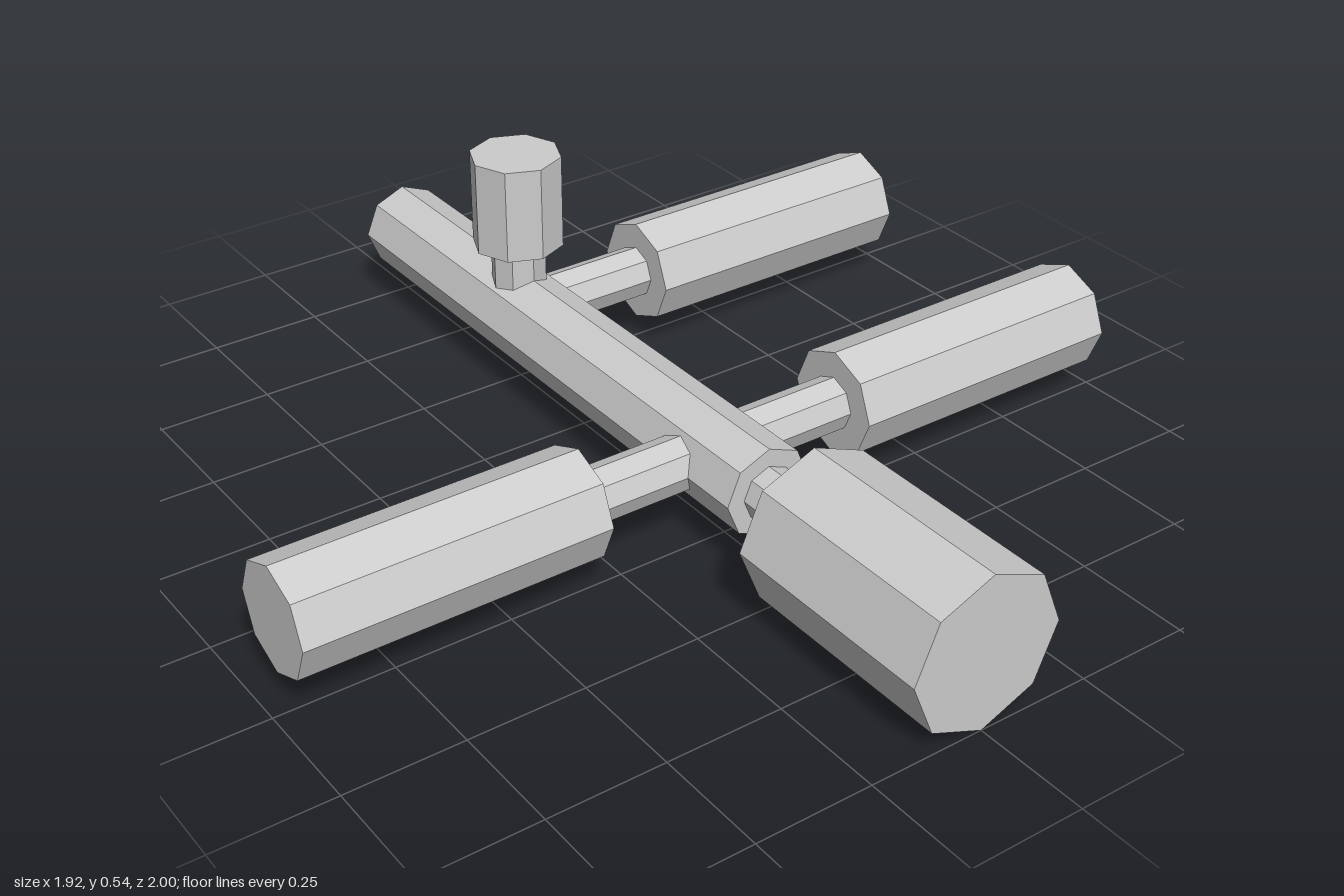
import * as THREE from 'three';

const SIDES = 8;
const AXIS_Y = 0.168; // height shared by every horizontal part
const UP = new THREE.Vector3(0, 1, 0);
const material = new THREE.MeshStandardMaterial({ color: 0xcccccc, flatShading: true });

// Octagonal bar between two points
function bar(name, radius, from, to) {
  const a = new THREE.Vector3(...from);
  const b = new THREE.Vector3(...to);
  const mesh = new THREE.Mesh(
    new THREE.CylinderGeometry(radius, radius, a.distanceTo(b), SIDES), material);
  mesh.name = name;
  mesh.position.copy(a).add(b).multiplyScalar(0.5);
  mesh.quaternion.setFromUnitVectors(UP, b.sub(a).normalize());
  return mesh;
}

// Side arm: thin connector and thick grip
function arm(name, side, z) {
  const group = new THREE.Group();
  group.name = name;
  group.add(
    bar('armConnector', 0.058, [side * 0.04, AXIS_Y, z], [side * 0.31, AXIS_Y, z]),
    bar('armGrip', 0.116, [side * 0.31, AXIS_Y, z], [side * 0.96, AXIS_Y, z]));
  return group;
}

export function createModel() {
  const model = new THREE.Group();
  model.name = 'branchedRod';

  // Central rod
  model.add(bar('mainRod', 0.097, [0, AXIS_Y, -1], [0, AXIS_Y, 0.385]));

  // Front head on its neck
  model.add(bar('headNeck', 0.058, [0, AXIS_Y, 0.385], [0, AXIS_Y, 0.515]));
  model.add(bar('head', AXIS_Y, [0, AXIS_Y, 0.515], [0, AXIS_Y, 1]));

  // Two arms at the front, one at the rear left
  model.add(arm('frontLeftArm', 1, 0.2));
  model.add(arm('frontRightArm', -1, 0.2));
  model.add(arm('rearLeftArm', 1, -0.497));

  // Upright knob on its stem
  model.add(bar('knobStem', 0.06, [0, 0.21, -0.495], [0, 0.335, -0.495]));
  model.add(bar('knob', 0.099, [0, 0.335, -0.495], [0, 0.542, -0.495]));

  return model;
}
